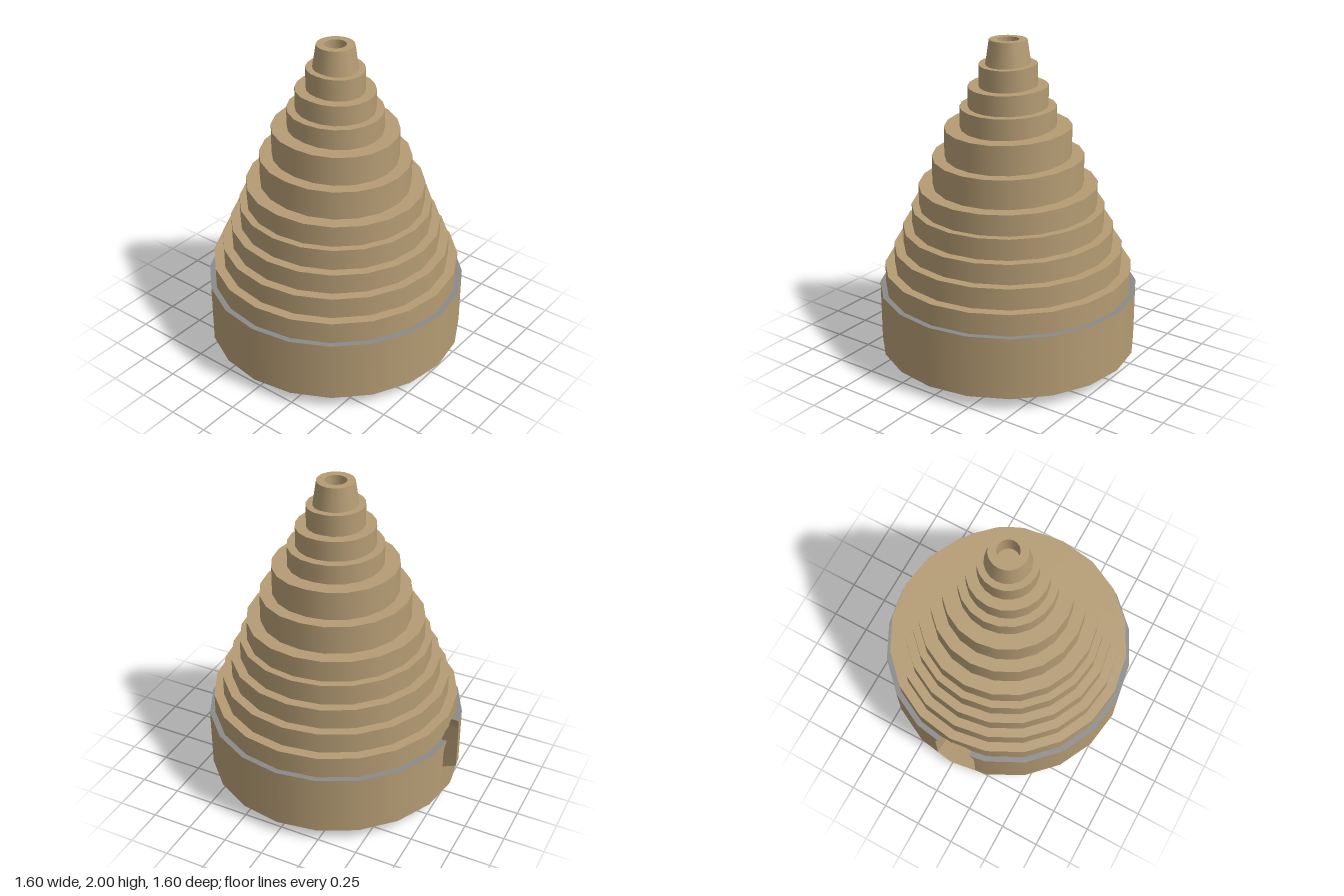
import * as THREE from 'three';
import { toCreasedNormals } from 'three/addons/utils/BufferGeometryUtils.js';

const SIDES = 20;
const STEP = (Math.PI * 2) / SIDES;

// Each tier: radius, bottom height, and how far the front of its bottom edge sags
const TIERS = [
  [0.8, 0.08, 0], [0.765, 0.463, 0], [0.705, 0.6, 0.004], [0.647, 0.73, 0.004],
  [0.59, 0.86, 0.01], [0.545, 0.99, 0.01], [0.46, 1.125, 0.018], [0.384, 1.305, 0.02],
  [0.29, 1.485, 0.02], [0.24, 1.605, 0.01], [0.175, 1.73, 0.013], [0.135, 1.86, 0.012],
];
const TOP = 2, TOP_RADIUS = 0.113, BORE = 0.065;

// Arched niche in the back wall
const NICHE = { x: -0.03, half: 0.14, spring: 0.373, back: -0.59 };
const LEDGE = TIERS[1][1];
const EDGE = THREE.MathUtils.radToDeg(Math.asin((LEDGE - NICHE.spring) / NICHE.half));
const MIDDLE = THREE.MathUtils.radToDeg(Math.acos(-NICHE.x / NICHE.half)); // arch point at x = 0

export function createModel() {
  const tan = new THREE.MeshStandardMaterial({ color: 0xb49b73, side: THREE.DoubleSide });
  tan.name = 'tan';
  const grey = new THREE.MeshStandardMaterial({ color: 0x8a8a8a, side: THREE.DoubleSide });
  grey.name = 'grey';

  const group = new THREE.Group();
  group.name = 'steppedCone';
  const add = (name, geometry, material = tan) => {
    const mesh = new THREE.Mesh(geometry, material);
    mesh.name = name;
    group.add(mesh);
  };

  // Turned band between two rings [radius, y, sag]; gap leaves the two back facets open
  const band = (a, b, gap = false) => {
    const points = [a, b].map(([r, y]) => new THREE.Vector2(r, y));
    const start = Math.PI + (gap ? STEP : 0);
    const n = SIDES - (gap ? 2 : 0);
    const geo = new THREE.LatheGeometry(points, n, start, n * STEP);
    const p = geo.attributes.position;
    for (let i = 0; i < p.count; i++) {
      const [r, y, sag] = i % 2 ? b : a;
      if (r > 0) p.setY(i, y - sag * Math.max(0, p.getZ(i) / r));
    }
    return geo;
  };

  // Quads between two lists of points
  const strip = (a, b) => {
    const pos = [], index = [];
    a.forEach((q, i) => {
      pos.push(...q, ...b[i]);
      if (i) index.push(2 * i - 2, 2 * i, 2 * i + 1, 2 * i - 2, 2 * i + 1, 2 * i - 1);
    });
    const geo = new THREE.BufferGeometry();
    geo.setAttribute('position', new THREE.Float32BufferAttribute(pos, 3));
    geo.setIndex(index);
    geo.computeVertexNormals();
    return geo;
  };

  // Depth of a back facet, and a point on the arch
  const wallZ = (r, x) => -(r - Math.abs(x) * Math.tan(STEP / 2));
  const arch = (deg) => {
    const t = THREE.MathUtils.degToRad(deg);
    return [NICHE.x + NICHE.half * Math.cos(t), NICHE.spring + NICHE.half * Math.sin(t)];
  };

  // Wall panel from a lower outline [x, y] up to a level height, shaded round
  const panel = (r, lower, top) => {
    const geo = strip(lower.map(([x, y]) => [x, y, wallZ(r, x)]), lower.map(([x]) => [x, top, wallZ(r, x)]));
    const p = geo.attributes.position;
    for (let i = 0; i < p.count; i++) {
      const d = Math.hypot(p.getX(i), p.getZ(i));
      geo.attributes.normal.setXYZ(i, p.getX(i) / d, 0, p.getZ(i) / d);
    }
    return geo;
  };

  // Stepped hollow shell
  TIERS.forEach(([r, y, sag], i) => {
    const last = i === TIERS.length - 1;
    const next = last ? [TOP_RADIUS, TOP, 0] : TIERS[i + 1];
    add(last ? 'spire' : 'tierWall', band([r, y, sag], [last ? next[0] : r, next[1], next[2]], i < 2));
    if (!last) add(i ? 'tierLedge' : 'greyLedge', band([r, next[1], next[2]], next, i === 0), i ? tan : grey);
  });

  // Rim and blind bore at the tip
  add('tipRim', band([TOP_RADIUS, TOP, 0], [BORE, TOP, 0]));
  add('boreWall', band([BORE, TOP, 0], [BORE, 1.88, 0]));
  add('boreFloor', band([BORE, 1.88, 0], [0, 1.88, 0]));

  // Back wall panels around the niche
  const [r0, base] = TIERS[0];
  const r1 = TIERS[1][0];
  const e0 = r0 * Math.sin(STEP), e1 = r1 * Math.sin(STEP);
  const right = NICHE.x + NICHE.half, left = NICHE.x - NICHE.half;
  const low = [0, 10, 20, 30, EDGE];
  const crown = [EDGE, 50, 60, 70, MIDDLE, 90, 100, 110, 120, 130, 180 - EDGE];
  const lowLeft = low.map((d) => 180 - d).reverse();
  add('lowerWallBack', panel(r0, [[e0, base], [right, base], ...low.map(arch)], LEDGE));
  add('lowerWallBack', panel(r0, [...lowLeft.map(arch), [left, base], [-e0, base]], LEDGE));
  add('upperWallBack', panel(r1, [[e1, LEDGE], ...crown.map(arch), [-e1, LEDGE]], TIERS[2][1]));

  // Grey ledge on either side of the niche
  for (const s of [1, -1]) {
    const x = arch(s > 0 ? EDGE : 180 - EDGE)[0];
    const outer = [[s * e0, LEDGE, wallZ(r0, e0)], [x, LEDGE, wallZ(r0, x)]];
    const inner = [[s * e1, LEDGE, wallZ(r1, e1)], [x, LEDGE, wallZ(r1, x)]];
    if (s < 0) { outer.reverse(); inner.reverse(); }
    add('greyLedgeBack', strip(outer, inner), grey);
  }

  // Niche sides, vaulted roof and sloping floor
  const ring = [
    [right, 0, r0], ...low.map((d) => [...arch(d), r0]), ...crown.map((d) => [...arch(d), r1]),
    ...lowLeft.map((d) => [...arch(d), r0]), [left, 0, r0], [0, 0, r0], [right, 0, r0],
  ];
  const tunnel = strip(
    ring.map(([x, y, r]) => [x, Math.max(y, base), wallZ(r, x)]),
    ring.map(([x, y]) => [x, y, NICHE.back]),
  );
  add('nicheLining', toCreasedNormals(tunnel, 0.6));

  // Niche end wall
  const end = new THREE.Shape(ring.slice(0, -2).map(([x, y]) => new THREE.Vector2(x, y)));
  const endGeo = new THREE.ShapeGeometry(end);
  endGeo.translate(0, 0, NICHE.back);
  add('nicheEnd', endGeo);

  return group;
}
